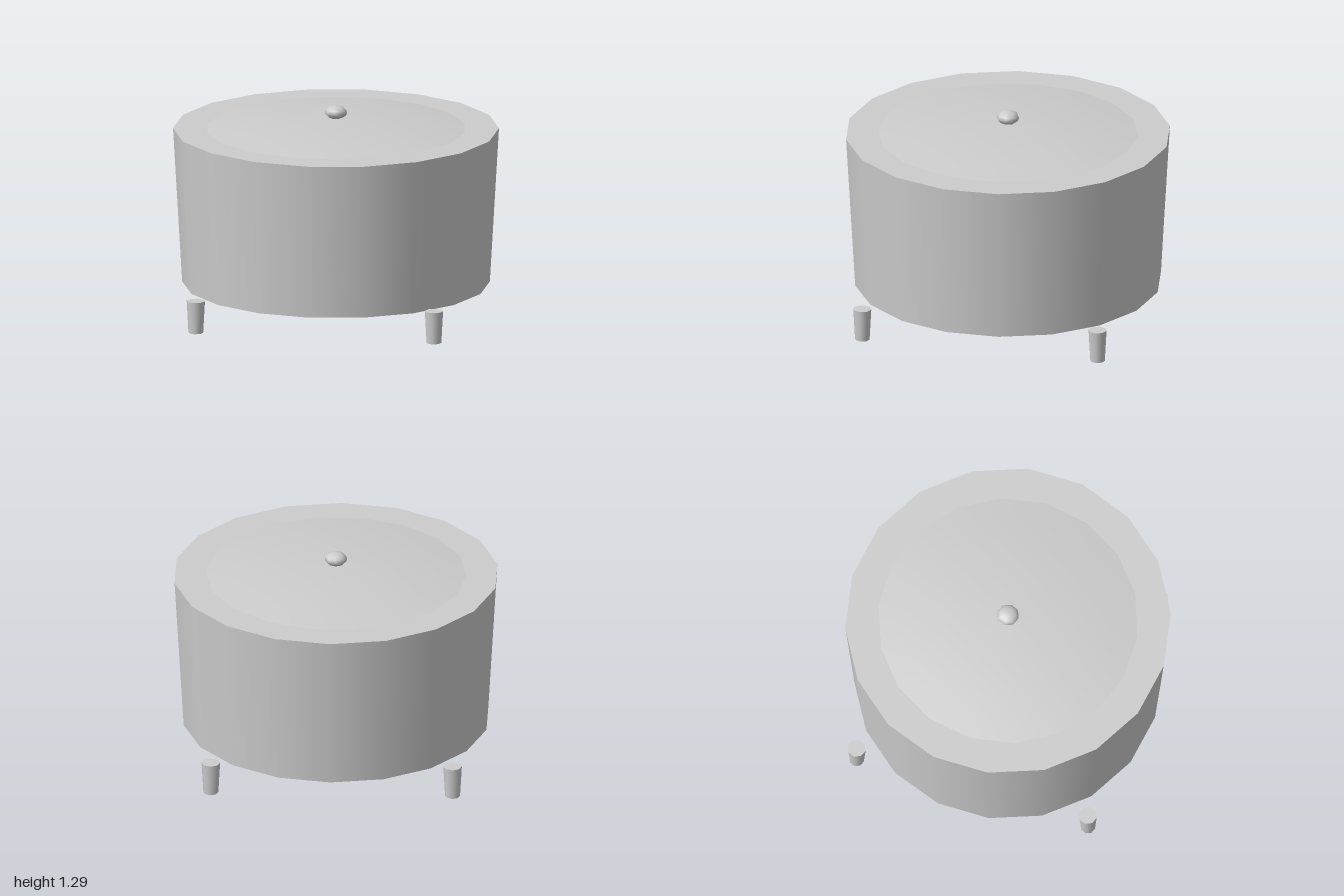
import * as THREE from 'three';

export function createModel() {
  const group = new THREE.Group();
  const grey = new THREE.MeshStandardMaterial({ color: 0xcccccc });
  grey.name = 'light grey';

  const add = (name, geometry, x, y, z) => {
    const mesh = new THREE.Mesh(geometry, grey);
    mesh.name = name;
    mesh.position.set(x, y, z);
    group.add(mesh);
    return mesh;
  };

  // Tapered drum body
  const bottom = 0.175, top = 1.143;
  add('body', new THREE.CylinderGeometry(1, 0.944, top - bottom, 18), 0, (top + bottom) / 2, 0);

  // Shallow domed lid, from the rim up to the centre
  const rim = 0.8, rise = 0.057;
  const profile = [1, 0.82, 0.63, 0.43, 0.22, 0].map(
    (t) => new THREE.Vector2(rim * t, rise * (1 - t * t)));
  add('lid', new THREE.LatheGeometry(profile, 18), 0, top, 0).rotation.y = Math.PI / 2;

  // Flattened knob
  const knob = new THREE.SphereGeometry(0.069, 8, 8);
  knob.scale(1, 0.61, 1);
  add('knob', knob, 0, 1.245, 0);

  // Four tapered feet outside the body's corners
  const foot = new THREE.CylinderGeometry(0.057, 0.046, 0.2, 8);
  for (const x of [-0.742, 0.742])
    for (const z of [-0.742, 0.742]) add('foot', foot, x, 0.1, z);

  return group;
}
